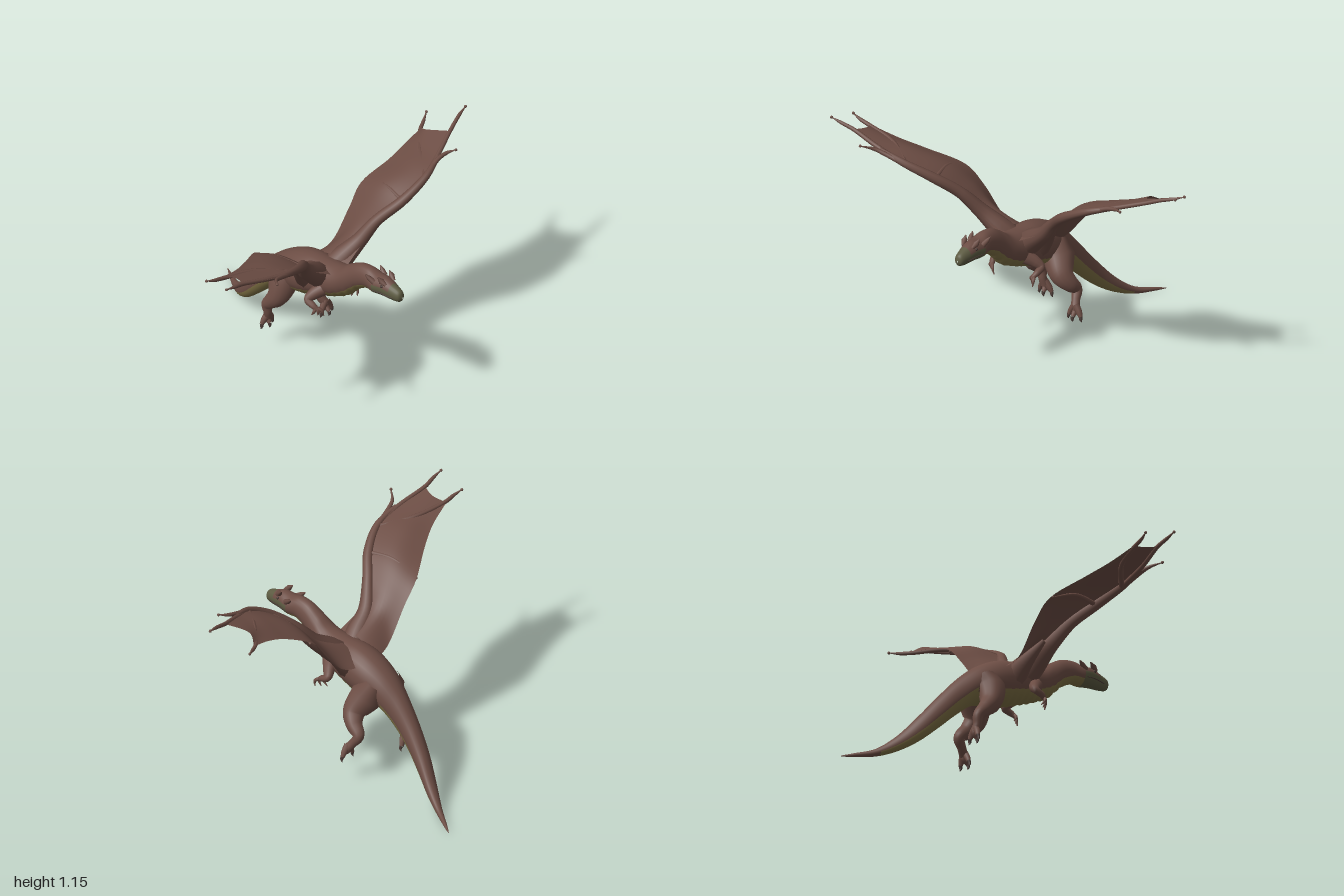
import * as THREE from 'three';

const mat = (name, color, side = THREE.FrontSide) => {
  const m = new THREE.MeshStandardMaterial({ color, side });
  m.name = name;
  return m;
};
const V = (p) => new THREE.Vector3(...p);

export function createModel() {
  const model = new THREE.Group();
  model.name = 'wingedDragon';
  const hide = mat('brownHide', 0x6c4d44);
  const belly = mat('tanBelly', 0x7d6f43);
  const snout = mat('oliveSnout', 0x5d5b42);
  const claw = mat('darkClaw', 0x4a3a35);
  const membrane = mat('wingMembrane', 0x6c4d44, THREE.DoubleSide);

  const add = (name, geo, material, parent = model) => {
    const mesh = new THREE.Mesh(geo, material);
    mesh.name = name;
    parent.add(mesh);
    return mesh;
  };

  // Tapered limb through points [x, y, z, radius]
  const limb = (name, pts, material, parent, radial = 10) => {
    const curve = new THREE.CatmullRomCurve3(pts.map((p) => V(p.slice(0, 3))));
    const n = (pts.length - 1) * 6;
    const geo = new THREE.TubeGeometry(curve, n, 1, radial, false);
    const pos = geo.attributes.position;
    const v = new THREE.Vector3();
    for (let i = 0; i <= n; i++) {
      const c = curve.getPointAt(i / n);
      const t = curve.getUtoTmapping(i / n) * (pts.length - 1);
      const k = Math.min(Math.floor(t), pts.length - 2);
      const r = THREE.MathUtils.lerp(pts[k][3], pts[k + 1][3], t - k);
      for (let j = 0; j <= radial; j++) {
        const id = i * (radial + 1) + j;
        v.fromBufferAttribute(pos, id).sub(c).multiplyScalar(r).add(c);
        pos.setXYZ(id, v.x, v.y, v.z);
      }
    }
    return add(name, geo, material, parent);
  };

  // Head, neck, torso and tail: [z, top, bottom, half width, x]
  const stations = [
    [0.755, 0.722, 0.714, 0.003, 0], [0.742, 0.75, 0.69, 0.024, 0], [0.70, 0.768, 0.682, 0.036, 0],
    [0.64, 0.788, 0.68, 0.048, 0], [0.58, 0.785, 0.672, 0.056, 0], [0.52, 0.797, 0.668, 0.05, 0],
    [0.45, 0.785, 0.625, 0.054, 0], [0.38, 0.745, 0.555, 0.066, 0], [0.31, 0.70, 0.515, 0.085, 0],
    [0.21, 0.685, 0.473, 0.102, 0], [0.10, 0.68, 0.43, 0.114, 0], [0, 0.65, 0.405, 0.112, 0],
    [-0.1, 0.59, 0.38, 0.092, 0], [-0.2, 0.50, 0.30, 0.068, 0.005], [-0.3, 0.385, 0.205, 0.056, 0.02],
    [-0.4, 0.26, 0.115, 0.049, 0.05], [-0.5, 0.14, 0.05, 0.038, 0.097], [-0.6, 0.057, 0.014, 0.022, 0.15],
    [-0.7, 0.027, 0.007, 0.011, 0.21], [-0.755, 0.013, 0.008, 0.002, 0.245],
  ];
  const outline = new THREE.CatmullRomCurve3(stations.map((s) => V(s.slice(0, 3))), false, 'catmullrom');
  const widths = new THREE.CatmullRomCurve3(stations.map((s) => V([s[3], s[4], 0])), false, 'catmullrom');
  const rings = 152, sides = 24;
  const verts = [], faces = [[], [], []];
  for (let i = 0; i <= rings; i++) {
    const { x: z, y: top, z: bottom } = outline.getPoint(i / rings);
    const { x: hw, y: cx } = widths.getPoint(i / rings);
    // Belly scutes ripple on the chest
    const ripple = z < 0.46 && z > 0.08 ? 0.005 * Math.sin(z * 150) : 0;
    for (let j = 0; j < sides; j++) {
      const a = (j / sides) * Math.PI * 2, c = Math.cos(a);
      verts.push(cx + hw * Math.sin(a),
        (top + bottom) / 2 - ((top - bottom) / 2 + (c > 0.5 ? ripple : 0)) * c, z);
      if (i === rings) continue;
      const mid = Math.abs(((j + 0.5) / sides) * 360 - 180); // 180 is straight down
      const down = 180 - mid;
      let m = 0;
      if (z > 0.69 || (z > 0.58 && down < 100)) m = 2;
      else if (z > -0.58 && down < (z < -0.1 ? 75 : 60)) m = 1;
      const p = i * sides + j, q = i * sides + (j + 1) % sides;
      faces[m].push(p, p + sides, q, q, p + sides, q + sides);
    }
  }
  const bodyGeo = new THREE.BufferGeometry();
  bodyGeo.setAttribute('position', new THREE.Float32BufferAttribute(verts, 3));
  bodyGeo.setIndex(faces.flat());
  let start = 0;
  faces.forEach((f, m) => { bodyGeo.addGroup(start, f.length, m); start += f.length; });
  bodyGeo.computeVertexNormals();
  add('body', bodyGeo, [hide, belly, snout]);

  // Brow horns, eyes and mouth line
  for (const s of [-1, 1]) {
    limb('browHorn', [[s * 0.03, 0.768, 0.665, 0.008], [s * 0.037, 0.785, 0.64, 0.016],
      [s * 0.043, 0.805, 0.618, 0.002]], hide, model, 8);
    limb('rearHorn', [[s * 0.04, 0.755, 0.59, 0.016], [s * 0.05, 0.775, 0.56, 0.012],
      [s * 0.056, 0.79, 0.54, 0.002]], hide, model, 8);
    const eye = add('eye', new THREE.SphereGeometry(0.008, 10, 8), claw);
    eye.position.set(s * 0.042, 0.757, 0.645);
    limb('mouthLine', [[s * 0.012, 0.712, 0.749, 0.002], [s * 0.0345, 0.712, 0.70, 0.003],
      [s * 0.047, 0.716, 0.64, 0.003], [s * 0.054, 0.71, 0.59, 0.002]], claw, model, 6);
  }

  // Wing membrane: rows of leading, middle and trailing points from root to tip
  const wing = (name, rows, fingers) => {
    const g = new THREE.Group();
    g.name = name;
    model.add(g);
    const lines = [0, 1, 2].map((k) => new THREE.CatmullRomCurve3(rows.map((r) => V(r[k])), false, 'catmullrom'));
    const nu = 36, nv = 12, p = [], idx = [];
    for (let i = 0; i <= nu; i++) {
      const chord = new THREE.CatmullRomCurve3(lines.map((l) => l.getPoint(i / nu)), false, 'catmullrom');
      for (let j = 0; j <= nv; j++) {
        p.push(...chord.getPoint(j / nv).toArray());
        const a = i * (nv + 1) + j, b = a + nv + 1;
        if (i < nu && j < nv) idx.push(a, b, a + 1, a + 1, b, b + 1);
      }
    }
    const geo = new THREE.BufferGeometry();
    geo.setAttribute('position', new THREE.Float32BufferAttribute(p, 3));
    geo.setIndex(idx);
    geo.computeVertexNormals();
    add('membrane', geo, membrane, g);

    // Arm bones follow the leading edge just inside it
    const s = Math.sign(rows[3][0][0]);
    const at = (k, r, dz = 0.02) => [rows[k][0][0], rows[k][0][1] - r * 0.3, rows[k][0][2] - dz, r];
    limb('wingArm', [[s * 0.03, 0.59, 0.19, 0.07], [s * 0.1, 0.655, 0.22, 0.062], at(1, 0.042, 0.035),
      at(2, 0.03), at(3, 0.027), at(4, 0.02, 0.012), at(5, 0.012, 0.006)], hide, g);
    // Rear shoulder muscle
    limb('shoulderMuscle', [[s * 0.05, 0.56, 0.12, 0.07], [s * 0.12, 0.63, 0.14, 0.045],
      [s * 0.22, 0.745, 0.2, 0.012]], hide, g);
    for (const f of fingers) {
      const k = f.length - 1;
      limb('wingFinger', f.map((q, i) => [...q, i === k ? 0.002 : 0.014 - 0.006 * (i / k)]), hide, g, 8);
      const knuckle = add('fingerTip', new THREE.SphereGeometry(0.008, 8, 6), hide, g);
      knuckle.position.set(...f[k]);
    }
  };

  wing('leftWing', [
    [[0.05, 0.66, 0.30], [0.05, 0.68, 0.17], [0.05, 0.60, 0.03]],
    [[0.19, 0.74, 0.285], [0.2, 0.74, 0.17], [0.18, 0.63, 0.06]],
    [[0.28, 0.84, 0.31], [0.3, 0.83, 0.18], [0.31, 0.78, 0.06]],
    [[0.40, 0.94, 0.38], [0.41, 0.95, 0.21], [0.41, 0.89, 0.052]],
    [[0.55, 1.02, 0.39], [0.56, 1.02, 0.24], [0.57, 0.97, 0.09]],
    [[0.68, 1.06, 0.345], [0.68, 1.05, 0.21], [0.70, 1.015, 0.092]],
    [[0.84, 1.105, 0.275], [0.785, 1.08, 0.15], [0.82, 1.04, 0.08]],
  ], [
    [[0.55, 1.01, 0.38], [0.66, 1.055, 0.355], [0.72, 1.07, 0.36], [0.765, 1.08, 0.385]],
    [[0.55, 1.01, 0.375], [0.70, 1.06, 0.325], [0.84, 1.105, 0.27], [0.94, 1.14, 0.238], [1.0, 1.152, 0.222]],
    [[0.55, 1.01, 0.37], [0.68, 1.04, 0.21], [0.80, 1.035, 0.09], [0.86, 1.045, 0.055], [0.915, 1.06, 0.022]],
    [[0.40, 0.93, 0.36], [0.42, 0.945, 0.21], [0.42, 0.89, 0.06]],
  ]);
  wing('rightWing', [
    [[-0.05, 0.66, 0.30], [-0.05, 0.68, 0.17], [-0.05, 0.60, 0.03]],
    [[-0.2, 0.75, 0.285], [-0.2, 0.75, 0.17], [-0.18, 0.63, 0.065]],
    [[-0.29, 0.86, 0.34], [-0.3, 0.85, 0.2], [-0.31, 0.79, 0.08]],
    [[-0.39, 0.95, 0.43], [-0.41, 0.95, 0.26], [-0.42, 0.89, 0.1]],
    [[-0.53, 1.02, 0.49], [-0.56, 1.02, 0.33], [-0.59, 0.97, 0.2]],
    [[-0.68, 1.06, 0.495], [-0.7, 1.055, 0.37], [-0.72, 1.02, 0.265]],
    [[-0.87, 1.105, 0.465], [-0.845, 1.09, 0.385], [-0.87, 1.07, 0.31]],
  ], [
    [[-0.53, 1.01, 0.48], [-0.64, 1.05, 0.505], [-0.69, 1.07, 0.525], [-0.74, 1.095, 0.58]],
    [[-0.53, 1.01, 0.475], [-0.70, 1.06, 0.48], [-0.87, 1.105, 0.46], [-0.94, 1.125, 0.468], [-1.0, 1.14, 0.47]],
    [[-0.53, 1.01, 0.47], [-0.69, 1.045, 0.36], [-0.87, 1.07, 0.318], [-0.93, 1.085, 0.315], [-0.98, 1.10, 0.305]],
    [[-0.39, 0.94, 0.41], [-0.42, 0.945, 0.26], [-0.43, 0.89, 0.11]],
  ]);

  // Small forearms with three clawed fingers
  for (const s of [-1, 1]) {
    const arm = new THREE.Group();
    arm.name = s > 0 ? 'leftForearm' : 'rightForearm';
    model.add(arm);
    limb('arm', [[s * 0.07, 0.56, 0.25, 0.04], [s * 0.11, 0.53, 0.22, 0.032], [s * 0.137, 0.5, 0.205, 0.021],
      [s * 0.138, 0.48, 0.245, 0.017], [s * 0.13, 0.465, 0.265, 0.012]], hide, arm);
    for (const d of [-1, 0, 1]) {
      limb('finger', [[s * 0.132, 0.472, 0.258, 0.01], [s * 0.13 + d * 0.016, 0.455, 0.272 + d * 0.012, 0.009],
        [s * 0.122 + d * 0.02, 0.42, 0.262 + d * 0.025, 0.002]], hide, arm, 8);
    }
  }

  // Hind legs with thigh, shank, foot and toes
  const leg = (name, joints, toeDir) => {
    const g = new THREE.Group();
    g.name = name;
    model.add(g);
    limb('thigh', [...joints], hide, g, 14);
    const [fx, fy, fz] = joints[joints.length - 1];
    for (const d of [-1, 0, 1]) {
      const tx = fx + d * 0.036, tz = fz + toeDir + (d === 0 ? 0.02 : 0);
      limb('toe', [[fx, fy + 0.02, fz, 0.02], [fx + d * 0.024, fy - 0.015, fz + toeDir * 0.6, 0.017],
        [tx, fy - 0.04, tz, 0.011]], hide, g, 8);
      limb('toeClaw', [[tx, fy - 0.037, tz, 0.011], [tx + d * 0.004, fy - 0.055, tz + 0.003, 0.008],
        [tx + d * 0.006, fy - 0.07, tz - 0.002, 0.001]], claw, g, 8);
    }
  };
  leg('leftLeg', [[0.05, 0.53, -0.05, 0.06], [0.085, 0.46, -0.02, 0.088], [0.135, 0.375, 0.015, 0.062],
    [0.165, 0.325, -0.01, 0.045], [0.178, 0.275, -0.055, 0.03], [0.19, 0.23, -0.03, 0.023], [0.205, 0.195, -0.005, 0.024]], 0.004);
  leg('rightLeg', [[-0.045, 0.53, -0.05, 0.06], [-0.075, 0.46, -0.035, 0.08], [-0.098, 0.375, -0.05, 0.056],
    [-0.102, 0.325, -0.09, 0.042], [-0.1, 0.28, -0.13, 0.028], [-0.092, 0.23, -0.13, 0.022], [-0.083, 0.195, -0.135, 0.024]], -0.012);

  return model;
}
